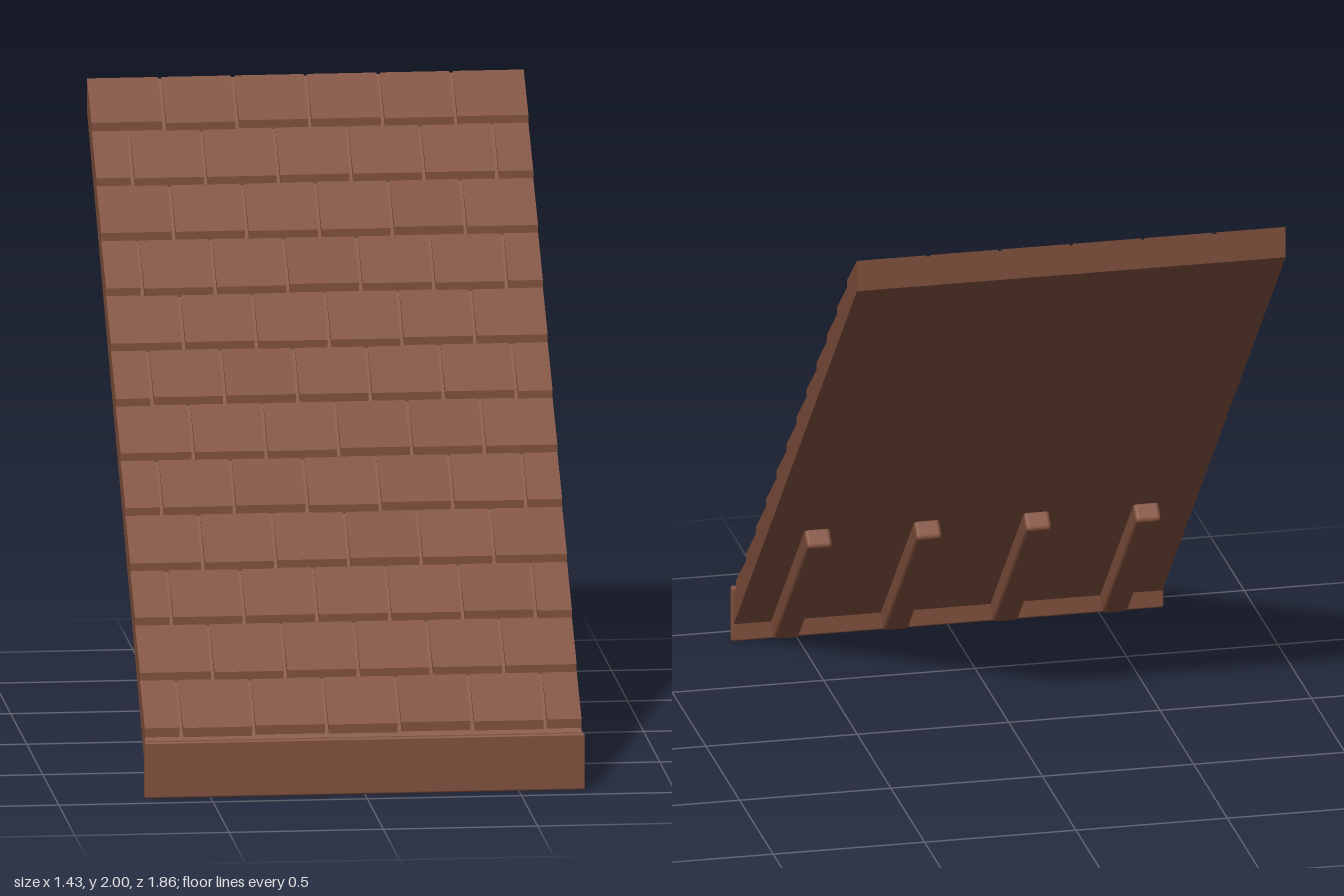
import * as THREE from 'three';
import { RoundedBoxGeometry } from 'three/addons/geometries/RoundedBoxGeometry.js';

const HALF_WIDTH = 0.708;
const DECK_TOP = 1.065; // y + z along the upper face of the 45 degree deck
const DECK_BOTTOM = 0.965; // y + z along the underside

const clay = new THREE.MeshStandardMaterial({ color: 0x7e4e3b });
clay.name = 'clay brown';

// Extrudes a side profile of [z, y] points between two x positions
function sideExtrude(points, x0, x1) {
  const shape = new THREE.Shape(points.map(([z, y]) => new THREE.Vector2(z, y)));
  const geometry = new THREE.ExtrudeGeometry(shape, { depth: x1 - x0, bevelEnabled: false });
  return geometry.rotateY(-Math.PI / 2).translate(x1, 0, 0);
}

function add(parent, name, geometry) {
  const mesh = new THREE.Mesh(geometry, clay);
  mesh.name = name;
  parent.add(mesh);
  return mesh;
}

export function createModel() {
  const model = new THREE.Group();
  model.name = 'roofSection';

  // Sloping deck with plumb-cut ends
  const back = -0.93, front = 0.9;
  add(model, 'deck', sideExtrude([
    [front, DECK_BOTTOM - front], [front, DECK_TOP - front],
    [back, DECK_TOP - back], [back, DECK_BOTTOM - back],
  ], -HALF_WIDTH, HALF_WIDTH));

  // Courses of wedge tiles, thick at the lower edge, joints staggered by half a tile
  let seed = 7;
  const jitter = (amount) => {
    seed = (seed * 16807) % 2147483647;
    return (seed / 2147483647 - 0.5) * amount;
  };
  const tiles = new THREE.Group();
  tiles.name = 'tiles';
  model.add(tiles);
  const rows = 12, pitch = 0.1505, tileWidth = HALF_WIDTH / 3, gap = 0.012;
  for (let row = 0; row < rows; row++) {
    const low = -0.785 + row * pitch;
    const high = row === 0 ? back : low - pitch;
    const start = -HALF_WIDTH - (row % 2) * tileWidth / 2;
    for (let i = 0; i < 6 + (row % 2); i++) {
      const left = start + i * tileWidth, right = left + tileWidth;
      const x0 = left <= -HALF_WIDTH + 0.001 ? -HALF_WIDTH : left + gap / 2;
      const x1 = right >= HALF_WIDTH - 0.001 ? HALF_WIDTH : right - gap / 2;
      const z = low + jitter(0.005);
      add(tiles, 'tile', sideExtrude([
        [z, DECK_TOP - z - 0.004], [z, DECK_TOP - z + 0.03],
        [high, DECK_TOP - high + 0.005], [high, DECK_TOP - high - 0.004],
      ], x0, x1));
    }
  }

  // Fascia board across the eave
  add(model, 'fascia', new RoundedBoxGeometry(1.428, 0.186, 0.026, 2, 0.007))
    .position.set(0, 0.096, 0.917);

  // Four rafter tails under the eave
  for (const x of [-0.543, -0.181, 0.181, 0.543]) {
    const rafter = add(model, 'rafterTail', new RoundedBoxGeometry(0.085, 0.069, 0.72, 2, 0.013));
    rafter.position.set(x, 0.291, 0.636);
    rafter.rotation.x = Math.PI / 4;
  }

  return model;
}
